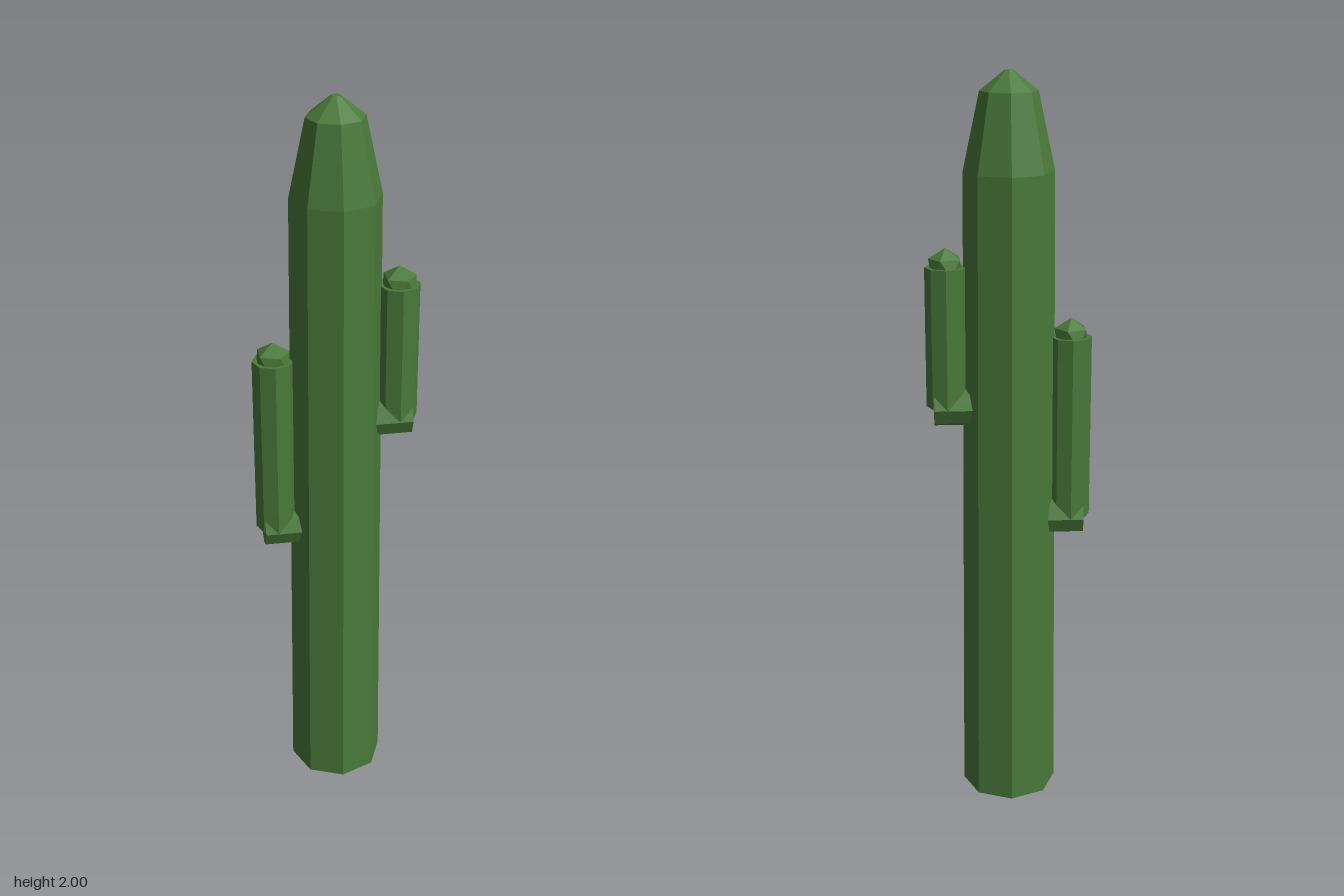
import * as THREE from 'three';

export function createModel() {
  const model = new THREE.Group();
  model.name = 'cactus';
  const green = new THREE.MeshStandardMaterial({ color: 0x4a7a3a, flatShading: true });
  green.name = 'cactus green';

  const add = (parent, name, geometry, x, y) => {
    const mesh = new THREE.Mesh(geometry, green);
    mesh.name = name;
    mesh.position.set(x, y, 0);
    parent.add(mesh);
  };

  // Eight-sided trunk: slight taper, then shoulder and blunt tip
  const profile = [[0, 0], [0.13, 0], [0.118, 1.75], [0.075, 1.95], [0.012, 2], [0, 2]]
    .map(([r, y]) => new THREE.Vector2(r, y));
  add(model, 'trunk', new THREE.LatheGeometry(profile, 8), 0, 0);

  // Arm: horizontal elbow, upright stem and a faceted bud with a point on top
  const addArm = (name, side, bottom, top) => {
    const arm = new THREE.Group();
    arm.name = name;
    const x = side * 0.165;
    add(arm, 'elbow', new THREE.CylinderGeometry(0.055, 0.055, 0.14, 8).rotateZ(Math.PI / 2), side * 0.13, bottom);
    add(arm, 'stem', new THREE.CylinderGeometry(0.055, 0.055, top - bottom, 8), x, (bottom + top) / 2);
    const bud = new THREE.IcosahedronGeometry(0.05, 0)
      .rotateX(-Math.atan((1 + Math.sqrt(5)) / 2))
      .rotateY(Math.PI / 2);
    add(arm, 'bud', bud, x, top);
    model.add(arm);
  };
  addArm('leftArm', 1, 1.13, 1.505);
  addArm('rightArm', -1, 0.815, 1.315);

  return model;
}
